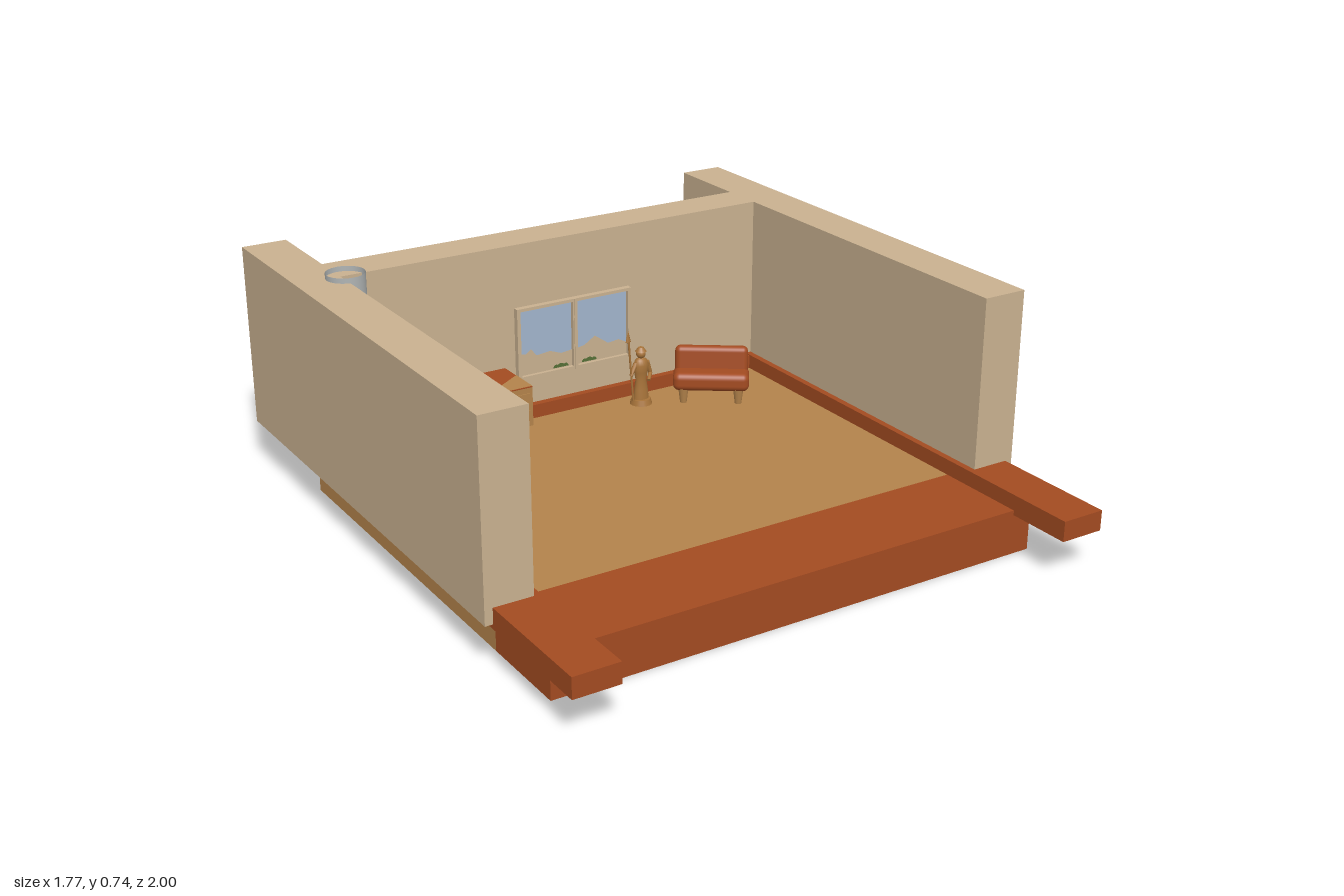
import * as THREE from 'three';
import { RoundedBoxGeometry } from 'three/addons/geometries/RoundedBoxGeometry.js';

const mat = (name, color, side = THREE.FrontSide) => {
  const m = new THREE.MeshStandardMaterial({ color, side });
  m.name = name;
  return m;
};

export function createModel() {
  const plaster = mat('plaster', 0xc9b190);
  const wood = mat('wood', 0xb3834b);
  const terracotta = mat('terracotta', 0xa34b21);
  const metal = mat('metal', 0xb0b4b4, THREE.DoubleSide);
  const sky = mat('sky', 0xa2b5cc);
  const ceramic = mat('ceramic', 0xa3b2c6, THREE.DoubleSide);
  const leafGreen = mat('leafGreen', 0x557037);
  const bronze = mat('bronze', 0xa8743a);
  const darkWood = mat('darkWood', 0x8a5f30);

  const model = new THREE.Group();
  const group = (name, x = 0, y = 0, z = 0, parent = model) => {
    const g = new THREE.Group();
    g.name = name;
    g.position.set(x, y, z);
    parent.add(g);
    return g;
  };
  const add = (name, geo, m, x = 0, y = 0, z = 0, parent = model) => {
    const mesh = new THREE.Mesh(geo, m);
    mesh.name = name;
    mesh.position.set(x, y, z);
    parent.add(mesh);
    return mesh;
  };
  // box given by its limits on each axis
  const box = (name, m, x0, x1, y0, y1, z0, z1, parent = model) =>
    add(name, new THREE.BoxGeometry(x1 - x0, y1 - y0, z1 - z0), m,
      (x0 + x1) / 2, (y0 + y1) / 2, (z0 + z1) / 2, parent);
  const lathe = (pts, seg = 24) =>
    new THREE.LatheGeometry(pts.map(p => new THREE.Vector2(...p)), seg);
  // straight rod between two points
  const rod = (name, m, a, b, r0, r1, parent) => {
    const A = new THREE.Vector3(...a), d = new THREE.Vector3(...b).sub(A);
    const mesh = add(name, new THREE.CylinderGeometry(r1, r0, d.length(), 10), m, 0, 0, 0, parent);
    mesh.position.copy(A).addScaledVector(d, 0.5);
    mesh.quaternion.setFromUnitVectors(new THREE.Vector3(0, 1, 0), d.normalize());
    return mesh;
  };

  // floor slab with a coloured front step
  box('floor', wood, -0.81, 0.785, 0, 0.14, -0.685, 0.5);
  box('frontStep', terracotta, -0.81, 0.785, 0, 0.14, 0.5, 0.795);

  // walls, and the beams they stand on
  for (const s of [-1, 1]) {
    const side = s < 0 ? 'right' : 'left';
    const span = (a, b) => (s < 0 ? [-b, -a] : [a, b]);
    box(side + 'Wall', plaster, ...span(0.743, 0.887), 0.14, 0.724, -1, 0.595);
    box(side + 'Beam', terracotta, ...span(0.722, 0.863), 0.125, 0.188, -0.6, 1);
  }
  box('backWall', plaster, -0.743, 0.743, 0.14, 0.724, -0.71, -0.57);
  box('backSkirting', terracotta, -0.743, 0.743, 0.14, 0.185, -0.57, -0.546);

  // open vertical pipe in the corner
  add('pipe', new THREE.CylinderGeometry(0.06, 0.06, 0.6, 32, 1, true), metal, -0.733, 0.44, -0.556);

  // window: frame with two openings, panes, hills and shrubs
  const win = group('window', 0.04, 0.397, -0.57);
  const rect = (T, x0, x1, y0, y1) => new T([[x0, y0], [x1, y0], [x1, y1], [x0, y1]].map(p => new THREE.Vector2(...p)));
  const frame = rect(THREE.Shape, -0.21, 0.21, -0.12, 0.12);
  for (const [a, b] of [[-0.198, -0.008], [0.008, 0.198]])
    frame.holes.push(rect(THREE.Path, a, b, -0.11, 0.11));
  add('windowFrame', new THREE.ExtrudeGeometry(frame, { depth: 0.02, bevelEnabled: false }), plaster, 0, 0, 0, win);
  box('middlePost', plaster, -0.004, 0.004, -0.12, 0.12, 0.018, 0.023, win);
  const hills = [
    [[0, 0], [0.19, 0], [0.19, 0.055], [0.15, 0.05], [0.11, 0.065], [0.06, 0.06], [0.04, 0.085], [0.02, 0.07], [0, 0.075]],
    [[0, 0], [0.19, 0], [0.19, 0.04], [0.16, 0.055], [0.12, 0.05], [0.07, 0.085], [0.03, 0.06], [0, 0.055]],
  ];
  [-0.198, 0.008].forEach((x, i) => {
    box('pane', sky, x, x + 0.19, -0.11, 0.11, 0.001, 0.006, win);
    const hill = new THREE.Shape(hills[i].map(p => new THREE.Vector2(...p)));
    add('hills', new THREE.ShapeGeometry(hill), plaster, x, -0.11, 0.008, win);
    for (let k = 0; k < 3; k++)
      add('shrub', new THREE.CircleGeometry(0.011 + 0.003 * (k % 2), 12, 0, Math.PI), leafGreen,
        x + (i ? 0.03 : 0.13) + k * 0.017, -0.107, 0.01, win);
  });

  // chest of drawers
  const chest = group('chest', -0.382, 0, -0.43);
  box('chestBody', wood, -0.148, 0.148, 0.215, 0.342, -0.09, 0.09, chest);
  box('chestTop', terracotta, -0.148, 0.148, 0.342, 0.345, -0.09, 0.09, chest);
  const patch = new THREE.ShapeGeometry(new THREE.Shape([[-0.01, -0.09], [0.148, -0.09], [0.148, 0.015]].map(p => new THREE.Vector2(...p))));
  add('topPatch', patch.rotateX(-Math.PI / 2), wood, 0, 0.3465, 0, chest);
  box('frontPatch', terracotta, -0.148, -0.05, 0.324, 0.345, 0.09, 0.0915, chest);
  for (const x of [-0.098, 0.102])
    for (const z of [-0.065, 0.065])
      box('chestLeg', wood, x - 0.016, x + 0.016, 0.14, 0.216, z - 0.016, z + 0.016, chest);
  box('openDrawer', wood, -0.133, -0.02, 0.288, 0.324, 0.06, 0.13, chest);
  box('drawer', wood, 0.005, 0.138, 0.288, 0.324, 0.088, 0.093, chest);
  box('lowerDrawer', wood, -0.133, -0.005, 0.225, 0.268, 0.088, 0.093, chest);
  box('lowerDrawer', wood, 0.005, 0.138, 0.225, 0.268, 0.088, 0.093, chest);
  [-0.118, -0.052, 0.022, 0.09].forEach((x, i) => {
    for (const y of [0.246, 0.306])
      add('knob', new THREE.SphereGeometry(0.009, 12, 8), darkWood, x, y, y > 0.3 && i < 2 ? 0.135 : 0.097, chest);
  });

  // potted plant
  const plant = group('plant', -0.61, 0.14, -0.4);
  add('pot', lathe([[0, 0], [0.045, 0], [0.05, 0.03], [0.06, 0.075], [0.062, 0.09], [0.055, 0.09], [0.052, 0.078], [0, 0.078]], 32), ceramic, 0, 0, 0, plant);
  // leaves: length, half width, lean and direction of lean
  for (const [len, w, lean, turn, x, z] of [
    [0.165, 0.042, 0.5, 2.95, 0.02, 0], [0.16, 0.022, 0.5, -2.3, -0.02, -0.01],
    [0.13, 0.026, 0.6, -1.5, -0.01, 0.01], [0.11, 0.026, 0.45, 0.3, 0.015, 0.01],
    [0.1, 0.022, 0.65, -0.8, -0.01, 0.015],
  ]) {
    const g = lathe([[0, 0], [w * 0.35, len * 0.1], [w * 0.85, len * 0.35], [w, len * 0.58], [w * 0.75, len * 0.82], [0, len]], 16);
    g.scale(1, 1, 0.2).rotateX(lean).rotateY(turn);
    add('leaf', g, leafGreen, x, 0.07, z, plant);
  }

  // robed figure with a staff
  const statue = group('statue', 0.24, 0.14, -0.475);
  add('plinth', new THREE.CylinderGeometry(0.032, 0.037, 0.018, 20), bronze, 0, 0.009, 0, statue);
  const robe = lathe([[0.027, 0.018], [0.024, 0.05], [0.019, 0.085], [0.024, 0.11], [0.027, 0.135], [0.02, 0.153], [0.008, 0.16], [0, 0.162]], 20);
  add('robe', robe.scale(1, 1, 0.75), bronze, 0, 0, 0, statue);
  add('head', new THREE.SphereGeometry(0.016, 16, 12), bronze, 0, 0.173, 0, statue);
  add('hat', new THREE.CylinderGeometry(0.009, 0.019, 0.014, 16), bronze, 0, 0.188, 0, statue);
  rod('staff', bronze, [-0.037, 0.02, 0.012], [-0.054, 0.235, 0.012], 0.0035, 0.0035, statue);
  const tip = add('staffHead', new THREE.ConeGeometry(0.01, 0.04, 8), bronze, -0.055, 0.247, 0.012, statue);
  tip.scale.z = 0.5;
  rod('rightArm', bronze, [-0.02, 0.142, 0], [-0.045, 0.108, 0.012], 0.008, 0.006, statue);
  rod('leftArm', bronze, [0.022, 0.142, 0], [0.036, 0.1, 0], 0.009, 0.007, statue);
  rod('leftForearm', bronze, [0.036, 0.1, 0], [0.015, 0.085, 0.024], 0.007, 0.006, statue);

  // padded armless sofa set at an angle
  const sofa = group('sofa', 0.453, 0, -0.38);
  sofa.rotation.y = -0.61;
  add('seat', new RoundedBoxGeometry(0.25, 0.062, 0.1, 4, 0.022), terracotta, 0, 0.213, 0, sofa);
  const back = add('backrest', new RoundedBoxGeometry(0.24, 0.11, 0.04, 4, 0.018), terracotta, 0, 0.26, -0.032, sofa);
  back.rotation.x = -0.1;
  for (const x of [-0.09, 0.09])
    for (const z of [-0.03, 0.03])
      add('sofaLeg', new THREE.CylinderGeometry(0.017, 0.011, 0.048, 14), wood, x, 0.164, z, sofa);

  return model;
}
